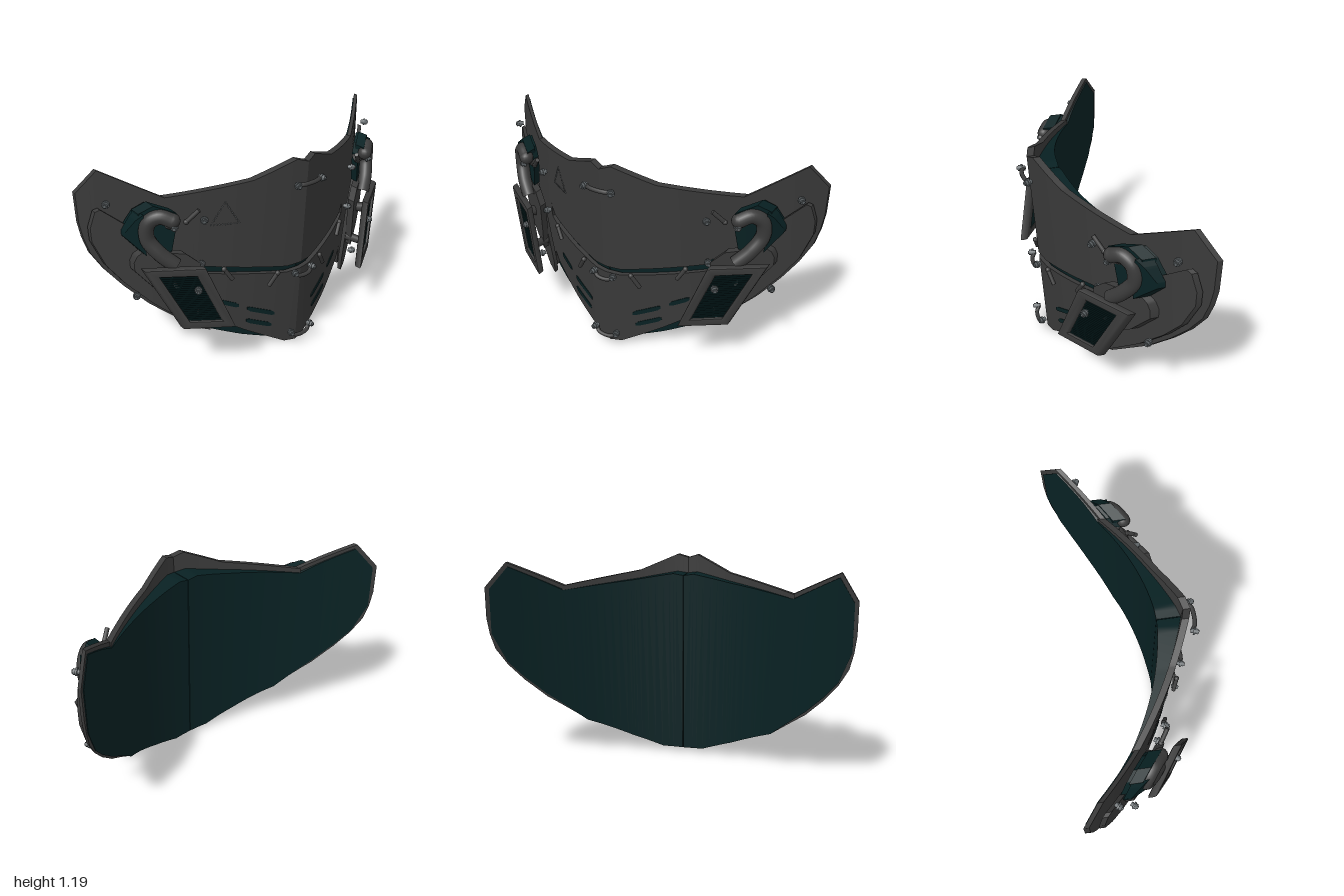
import * as THREE from 'three';
import { toCreasedNormals, mergeGeometries } from 'three/addons/utils/BufferGeometryUtils.js';

const material = (name, color) => Object.assign(new THREE.MeshStandardMaterial({ color }), { name });
const V = (x, y, z) => new THREE.Vector3(x, y, z);

// Face curve of the mask: folded at the centre line, swept back to the sides
const face = (x, y) => 0.28 - 0.3 * x - 0.33 * x * x + 0.07 * (y - 0.9) * (1 - x);
const lift = d => (x, y) => face(x, y) + d;
const faceNormal = x => V(0.3 + 0.66 * x, -0.03, 1).normalize();

// Height of a polyline at x
function lineAt(pts, x) {
  for (let i = 1; i < pts.length; i++) {
    const [ax, ay] = pts[i - 1], [bx, by] = pts[i];
    if (x <= bx) return ay + (by - ay) * Math.max(0, (x - ax) / (bx - ax));
  }
  return pts[pts.length - 1][1];
}

// Closed curved panel between an upper and a lower edge line
function panel(top, bottom, front, back) {
  const x0 = top[0][0], x1 = top[top.length - 1][0];
  const xs = [...top, ...bottom].map(p => p[0]);
  for (let i = 1; i < 24; i++) xs.push(x0 + (x1 - x0) * i / 24);
  const cols = [...new Set(xs)].sort((a, b) => a - b)
    .filter((x, i, all) => x >= x0 && x <= x1 && (i === 0 || x - all[i - 1] > 1e-4));
  const pos = [], idx = [];
  cols.forEach((x, i) => {
    const t = lineAt(top, x), b = lineAt(bottom, x);
    pos.push(x, t, front(x, t), x, b, front(x, b), x, b, back(x, b), x, t, back(x, t));
    if (i === 0) return;
    const p = (i - 1) * 4, q = i * 4;
    for (let k = 0; k < 4; k++) {
      const n = (k + 1) % 4;
      idx.push(p + k, p + n, q + n, p + k, q + n, q + k);
    }
  });
  const e = (cols.length - 1) * 4;
  idx.push(3, 2, 1, 3, 1, 0, e, e + 1, e + 2, e, e + 2, e + 3);
  const g = new THREE.BufferGeometry();
  g.setAttribute('position', new THREE.Float32BufferAttribute(pos, 3));
  g.setIndex(idx);
  return toCreasedNormals(g, 0.5);
}

// Copy of a geometry on the other side, with the corner order turned
function mirrored(geo) {
  const g = geo.index ? geo.toNonIndexed() : geo.clone();
  g.scale(-1, 1, 1);
  for (const a of Object.values(g.attributes)) {
    const s = a.itemSize;
    for (let i = 0; i < a.count; i += 3) for (let k = 0; k < s; k++) {
      const u = (i + 1) * s + k, w = (i + 2) * s + k, t = a.array[u];
      a.array[u] = a.array[w];
      a.array[w] = t;
    }
  }
  return g;
}

// Cylinder from point a to point b
function rod(a, b, r, sides = 12) {
  const d = b.clone().sub(a);
  const g = new THREE.CylinderGeometry(r, r, d.length(), sides);
  g.applyQuaternion(new THREE.Quaternion().setFromUnitVectors(V(0, 1, 0), d.normalize()));
  const m = a.clone().add(b).multiplyScalar(0.5);
  return g.translate(m.x, m.y, m.z);
}

// Washer, hex head and ring tip along the face normal
function bolt(x, y, z) {
  const n = faceNormal(x), c = V(x, y, z), at = d => c.clone().addScaledVector(n, d);
  return mergeGeometries([rod(at(-0.015), at(0), 0.013), rod(at(0), at(0.01), 0.021, 16),
    rod(at(0.01), at(0.024), 0.016, 6), rod(at(0.024), at(0.03), 0.009)]);
}

export function createModel() {
  const model = new THREE.Group();
  model.name = 'faceMask';
  const shell = material('charcoal shell', 0x3a3a3a);
  const lining = material('dark teal', 0x082123);
  const metal = material('bolt metal', 0x5c6265);

  const single = (name, geo, mat) => {
    const m = new THREE.Mesh(geo, mat);
    m.name = name;
    model.add(m);
  };
  const pair = (name, geo, mat) => {
    single(name + 'Left', geo, mat);
    single(name + 'Right', mirrored(geo), mat);
  };

  // Lining, thick at the nose and thin at the sides
  pair('lining', panel(
    [[0.002, 1.08], [0.06, 1.09], [0.27, 1.055], [0.655, 1.005], [0.9, 1.155], [0.98, 1.04]],
    [[0.002, 0.025], [0.12, 0.03], [0.3, 0.1], [0.55, 0.215], [0.75, 0.405], [0.85, 0.52], [0.92, 0.62], [0.98, 0.79]],
    (x, y) => face(x, y) - 0.012 - 0.03 * Math.max(0, 1 - y / 0.4) * Math.max(0, 1 - x / 0.5),
    (x, y) => Math.min(face(x, y) - 0.022, 0.14 - 0.05 * x - 0.45 * x * x)), lining);

  // Outer shell plates
  pair('upperPlate', panel(
    [[0, 1.17], [0.06, 1.19], [0.27, 1.1], [0.66, 1.03]],
    [[0, 0.55], [0.08, 0.54], [0.5, 0.61], [0.55, 0.66], [0.66, 0.93]],
    lift(0.014), lift(-0.025)), shell);
  pair('jawPlate', panel(
    [[0, 0.51], [0.08, 0.5], [0.5, 0.565], [0.6, 0.6]],
    [[0, 0], [0.07, 0.008], [0.12, 0.04], [0.3, 0.15], [0.42, 0.23], [0.5, 0.28], [0.6, 0.4]],
    lift(0.014), lift(-0.014)), shell);
  pair('sidePlate', panel(
    [[0.54, 0.98], [0.655, 1.03], [0.91, 1.18], [1, 1.05]],
    [[0.54, 0.215], [0.56, 0.222], [0.75, 0.385], [0.85, 0.5], [0.92, 0.6], [0.97, 0.7], [0.99, 0.79], [1, 0.88]],
    lift(0.014), lift(-0.014)), shell);
  pair('raisedSidePlate', panel(
    [[0.5, 0.29], [0.6, 0.6], [0.84, 0.9], [0.93, 0.98], [0.95, 0.965], [0.975, 0.87]],
    [[0.5, 0.215], [0.56, 0.235], [0.75, 0.41], [0.86, 0.54], [0.93, 0.65], [0.975, 0.79]],
    lift(0.064), lift(0.034)), shell);
  pair('ventBracket', panel(
    [[0.56, 0.68], [0.62, 0.74], [0.79, 0.76], [0.82, 0.73], [0.835, 0.69]],
    [[0.56, 0.38], [0.68, 0.46], [0.75, 0.52], [0.835, 0.64]],
    lift(0.11), lift(0.06)), shell);

  // Breathing slots on the jaw
  [[0.215, 0.265, 0.075], [0.225, 0.185, 0.07], [0.385, 0.35, 0.05]].forEach(([x, y, h]) => {
    const edge = d => [[x - h, y - h * 0.45 + d * 0.5], [x - h + 0.015, y - (h - 0.015) * 0.45 + d],
      [x + h - 0.015, y + (h - 0.015) * 0.45 + d], [x + h, y + h * 0.45 + d * 0.5]];
    pair('jawSlot', panel(edge(0.015), edge(-0.015), lift(0.018), lift(0.012)), lining);
  });

  // Pipe housing: base, arch above the pipe and wall outside it
  pair('housingBase', panel(
    [[0.65, 0.94], [0.68, 0.99], [0.75, 1.02], [0.8, 0.98], [0.855, 0.87]],
    [[0.65, 0.87], [0.67, 0.75], [0.72, 0.73], [0.8, 0.765], [0.855, 0.84]],
    lift(0.09), lift(0.04)), lining);
  pair('housingArch', panel(
    [[0.66, 0.99], [0.75, 1.03], [0.81, 0.985]],
    [[0.66, 0.965], [0.75, 0.99], [0.81, 0.92]],
    lift(0.13), lift(0.06)), lining);
  pair('housingWall', panel(
    [[0.8, 0.99], [0.825, 0.95], [0.86, 0.87]],
    [[0.8, 0.755], [0.86, 0.84]],
    x => -0.015 - (x - 0.8) * 1.6, lift(0.07)), lining);

  // Air pipe sunk into the housing
  const path = new THREE.CatmullRomCurve3([V(0.68, 0.95, 0.06), V(0.73, 0.972, 0.02), V(0.775, 0.94, -0.015),
    V(0.785, 0.85, -0.025), V(0.745, 0.765, 0.015), V(0.68, 0.69, 0.06)]);
  pair('airPipe', new THREE.TubeGeometry(path, 36, 0.04, 16), shell);
  pair('pipeCap', new THREE.SphereGeometry(0.04, 16, 10).translate(0.68, 0.95, 0.06), shell);
  pair('pipeCollar', rod(V(0.69, 0.935, 0.04), V(0.66, 0.9, 0.0), 0.03), shell);

  // Slanted vent: u runs across, v runs up, in a plane swept back to the side
  const ventZ = x => 0.27 - (x - 0.47) * 0.7;
  const corner = (u, v) => new THREE.Vector2(0.465 + 0.12 * v + u * (0.225 + 0.035 * v), 0.325 + v * 0.375);
  const quad = (u0, u1, v0, v1) => [corner(u0, v0), corner(u1, v0), corner(u1, v1), corner(u0, v1)];
  const ventPart = (pts, hole, depth, z, bevel) => {
    const s = new THREE.Shape(pts);
    if (hole) s.holes.push(new THREE.Path(hole));
    const g = new THREE.ExtrudeGeometry(s, { depth, bevelEnabled: bevel > 0, bevelSize: bevel, bevelThickness: bevel, bevelSegments: 2 });
    const p = g.attributes.position;
    for (let i = 0; i < p.count; i++) p.setZ(i, p.getZ(i) + z + ventZ(p.getX(i)));
    return toCreasedNormals(g, 0.6);
  };
  pair('ventFrame', ventPart(quad(0.04, 0.96, 0.03, 0.97), quad(0.15, 0.85, 0.1, 0.9), 0.03, -0.025, 0.01), shell);
  pair('ventBack', ventPart(quad(0.08, 0.92, 0.05, 0.95), null, 0.01, -0.028, 0), lining);
  const slats = [];
  for (let i = 0; i < 26; i++) {
    const v = 0.085 + i * 0.032;
    slats.push(ventPart(quad(0.1, 0.9, v, v + 0.016), null, 0.016, -0.02, 0));
  }
  pair('ventSlats', mergeGeometries(slats), lining);
  pair('ventMountUpper', rod(V(0.69, 0.6, 0.1), V(0.65, 0.58, 0.0), 0.03), shell);
  pair('ventMountLower', rod(V(0.6, 0.42, 0.16), V(0.57, 0.42, 0.04), 0.025), shell);
  pair('ventBolt', bolt(0.62, 0.57, ventZ(0.62) + 0.006), metal);

  // Bolts over the plates
  [[0.52, 0.92, 0.07], [0.53, 0.65, 0.055], [0.68, 0.92, 0.15], [0.91, 1.02, 0.08], [0.835, 0.49, 0.11], [0.605, 0.31, 0.1]]
    .forEach(([x, y, d]) => pair('plateBolt', bolt(x, y, face(x, y) + d), metal));

  // Short pins along the seam and beside the pipe
  [[0.425, 0.6, 0.385, 0.53, 0.05], [0.155, 0.53, 0.2, 0.455, 0.05], [0.61, 0.925, 0.555, 0.99, 0.1]]
    .forEach(([ax, ay, bx, by, d]) => {
      const a = V(ax, ay, face(ax, ay) + d), b = V(bx, by, face(bx, by) + d);
      pair('pin', rod(a, b, 0.012), shell);
      pair('pinHead', new THREE.SphereGeometry(0.015, 12, 8).translate(a.x, a.y, a.z), shell);
    });

  // Three curved clasps across the centre line
  [[1.06, 0.335, 0.08, 0], [0.49, 0.3, 0.06, 0.02], [0.08, 0.285, 0.07, 0.025]].forEach(([y, z, w, rise]) => {
    const arc = new THREE.CatmullRomCurve3([V(-w, y + rise, z - 0.02), V(-w * 0.6, y, z), V(w * 0.6, y, z), V(w, y + rise, z - 0.02)]);
    single('centreClasp', new THREE.TubeGeometry(arc, 20, 0.012, 10), shell);
    pair('claspBolt', bolt(w, y + rise, z - 0.012), metal);
  });

  // Dotted triangle on the right cheek
  const tri = [[-0.4, 0.99], [-0.465, 0.86], [-0.335, 0.86]], dots = [];
  tri.forEach(([ax, ay], i) => {
    const [bx, by] = tri[(i + 1) % 3];
    for (let k = 0; k < 10; k++) {
      const x = ax + (bx - ax) * k / 10, y = ay + (by - ay) * k / 10;
      dots.push(new THREE.SphereGeometry(0.004, 6, 4).translate(x, y, face(-x, y) + 0.015));
    }
  });
  single('dottedTriangle', mergeGeometries(dots), metal);

  return model;
}
